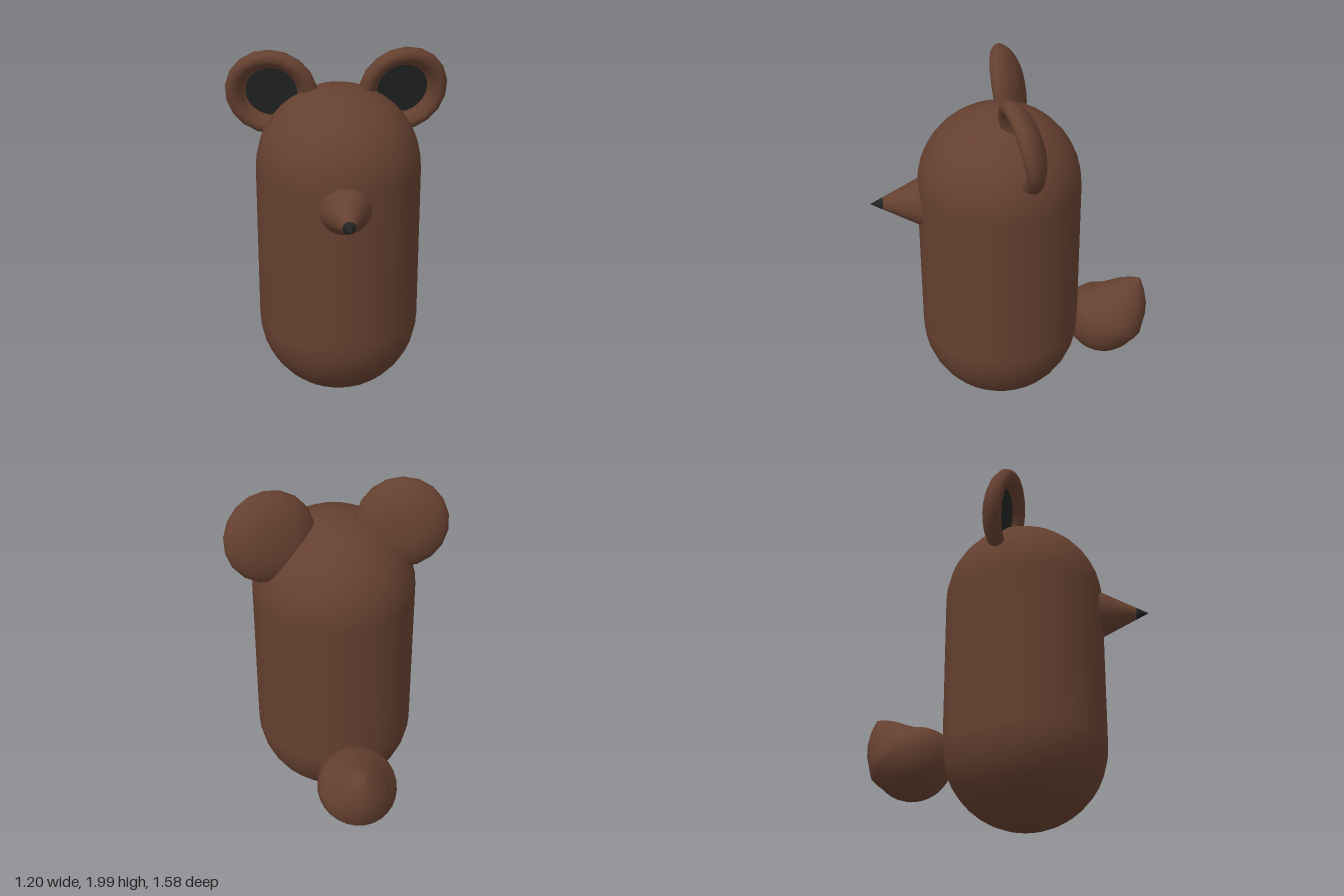
import * as THREE from 'three';

const brown = new THREE.MeshStandardMaterial({ color: 0x654030 });
const dark = new THREE.MeshStandardMaterial({ color: 0x222424 });

const add = (parent, name, geometry, material = brown) => {
  const mesh = new THREE.Mesh(geometry, material);
  mesh.name = name;
  parent.add(mesh);
  return mesh;
};

// Lathe around y through a smooth curve of [radius, height] points
const smoothLathe = (points, divisions, segments) => {
  const curve = new THREE.SplineCurve(points.map(([r, y]) => new THREE.Vector2(r, y)));
  const profile = curve.getPoints(divisions).map((p) => p.set(Math.max(p.x, 0), p.y));
  return new THREE.LatheGeometry(profile, segments);
};

// Cupped ear facing +z, turned outward and leaning forward
function createEar(side) {
  const ear = new THREE.Group();
  ear.name = side > 0 ? 'leftEar' : 'rightEar';
  const shell = smoothLathe([
    [0, -0.09], [0.12, -0.08], [0.21, -0.04], [0.25, 0.01], [0.235, 0.05],
    [0.2, 0.058], [0.165, 0.035], [0.135, 0], [0, -0.012],
  ], 32, 18);
  shell.rotateX(Math.PI / 2);
  add(ear, 'earShell', shell);
  add(ear, 'innerEar', new THREE.CircleGeometry(0.142, 24), dark).position.z = 0.006;
  ear.rotation.set(0.2, side * 0.18, 0, 'YXZ');
  ear.position.set(side * 0.352, 1.75, -0.01);
  return ear;
}

// Round tail drawn up to a point, bent slightly backward
function createTailGeometry() {
  const r = 0.222;
  const profile = [];
  for (let i = 0; i <= 12; i++) {
    const a = -Math.PI / 2 + (i / 12) * (Math.PI / 2 + 0.3);
    profile.push(new THREE.Vector2(Math.max(r * Math.cos(a), 0), r * Math.sin(a)));
  }
  for (const [x, y] of [[0.173, 0.12], [0.145, 0.17], [0.113, 0.22], [0.06, 0.275], [0, 0.32]])
    profile.push(new THREE.Vector2(x, y));
  const geometry = new THREE.LatheGeometry(profile, 28);
  const pos = geometry.attributes.position;
  for (let i = 0; i < pos.count; i++) {
    const y = pos.getY(i);
    if (y > 0) pos.setZ(i, pos.getZ(i) - 0.034 * Math.sin((Math.PI * y) / 0.32));
  }
  geometry.computeVertexNormals();
  return geometry;
}

export function createModel() {
  const model = new THREE.Group();
  model.name = 'animal';

  // Capsule body
  add(model, 'body', new THREE.CapsuleGeometry(0.45, 0.895, 10, 32)).position.set(0, 0.905, 0.08);

  // Conical snout with a dark tip
  const snout = new THREE.Group();
  snout.name = 'snout';
  const cone = new THREE.CylinderGeometry(0.034, 0.18, 0.3, 32, 1, true);
  add(snout, 'snoutCone', cone).position.y = -0.22;
  add(snout, 'noseTip', new THREE.ConeGeometry(0.034, 0.07, 32), dark).position.y = -0.035;
  snout.rotation.x = Math.PI / 2;
  snout.position.set(0, 1.26, 0.79);
  model.add(snout);

  // Ears
  for (const side of [1, -1]) model.add(createEar(side));

  // Tail
  const tail = add(model, 'tail', createTailGeometry());
  tail.rotation.x = -0.7;
  tail.position.set(0, 0.41, -0.54);

  return model;
}
